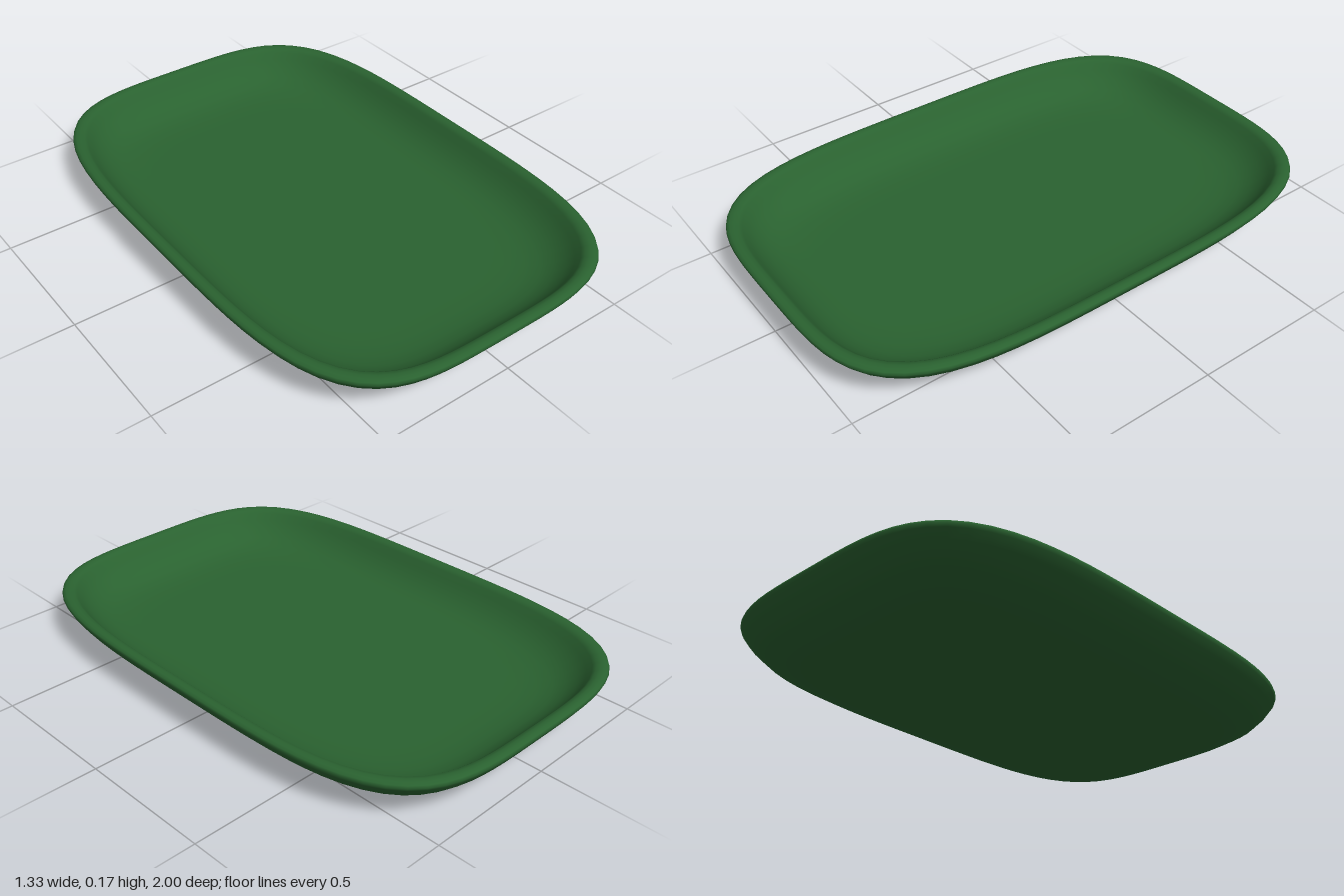
import * as THREE from 'three';

const HALF_WIDTH = 0.665, HALF_LENGTH = 1, SEGMENTS = 96;

// Cross-section from the underside, round the lip, to the inner floor: [inset from rim, height]
const underside = [[0.46, 0], [0.3, 0], [0.25, 0.004], [0.18, 0.014], [0.115, 0.036], [0.062, 0.068], [0.025, 0.108], [0.005, 0.138]];
const lip = [[0, 0.15], [0.003, 0.159], [0.012, 0.164], [0.025, 0.165], [0.038, 0.161], [0.048, 0.151]];
const inside = [[0.062, 0.128], [0.085, 0.098], [0.115, 0.072], [0.15, 0.053], [0.195, 0.041], [0.25, 0.036], [0.32, 0.035], [0.46, 0.035]];

// Rounded-rectangle rings (superellipses) joined into one closed shell
function trayGeometry() {
  const pts = [...underside, ...lip, ...inside];
  const positions = [], index = [];
  for (const [inset, y] of pts) {
    const a = HALF_WIDTH - inset, b = HALF_LENGTH - inset * 1.05;
    for (let i = 0; i < SEGMENTS; i++) {
      const t = (i / SEGMENTS) * Math.PI * 2;
      const c = Math.cos(t), s = Math.sin(t);
      const r = (Math.abs(c) ** 3.9 + Math.abs(s) ** 3.9) ** (-1 / 3.9);
      positions.push(a * r * c, y, b * r * s);
    }
  }
  for (let j = 0; j < pts.length - 1; j++) {
    for (let i = 0; i < SEGMENTS; i++) {
      const k = (i + 1) % SEGMENTS;
      const p = j * SEGMENTS + i, q = j * SEGMENTS + k;
      index.push(p, p + SEGMENTS, q, q, p + SEGMENTS, q + SEGMENTS);
    }
  }
  // Centre points closing the underside and the floor
  const last = (pts.length - 1) * SEGMENTS, bottom = pts.length * SEGMENTS;
  positions.push(0, 0, 0, 0, pts[pts.length - 1][1], 0);
  for (let i = 0; i < SEGMENTS; i++) {
    const k = (i + 1) % SEGMENTS;
    index.push(bottom, i, k, bottom + 1, last + k, last + i);
  }
  const geometry = new THREE.BufferGeometry();
  geometry.setAttribute('position', new THREE.Float32BufferAttribute(positions, 3));
  geometry.setIndex(index);
  geometry.computeVertexNormals();
  return geometry;
}

export function createModel() {
  const group = new THREE.Group();
  group.name = 'servingTray';
  const tray = new THREE.Mesh(trayGeometry(), new THREE.MeshStandardMaterial({ color: 0x2a6230 }));
  tray.name = 'tray';
  group.add(tray);
  return group;
}
